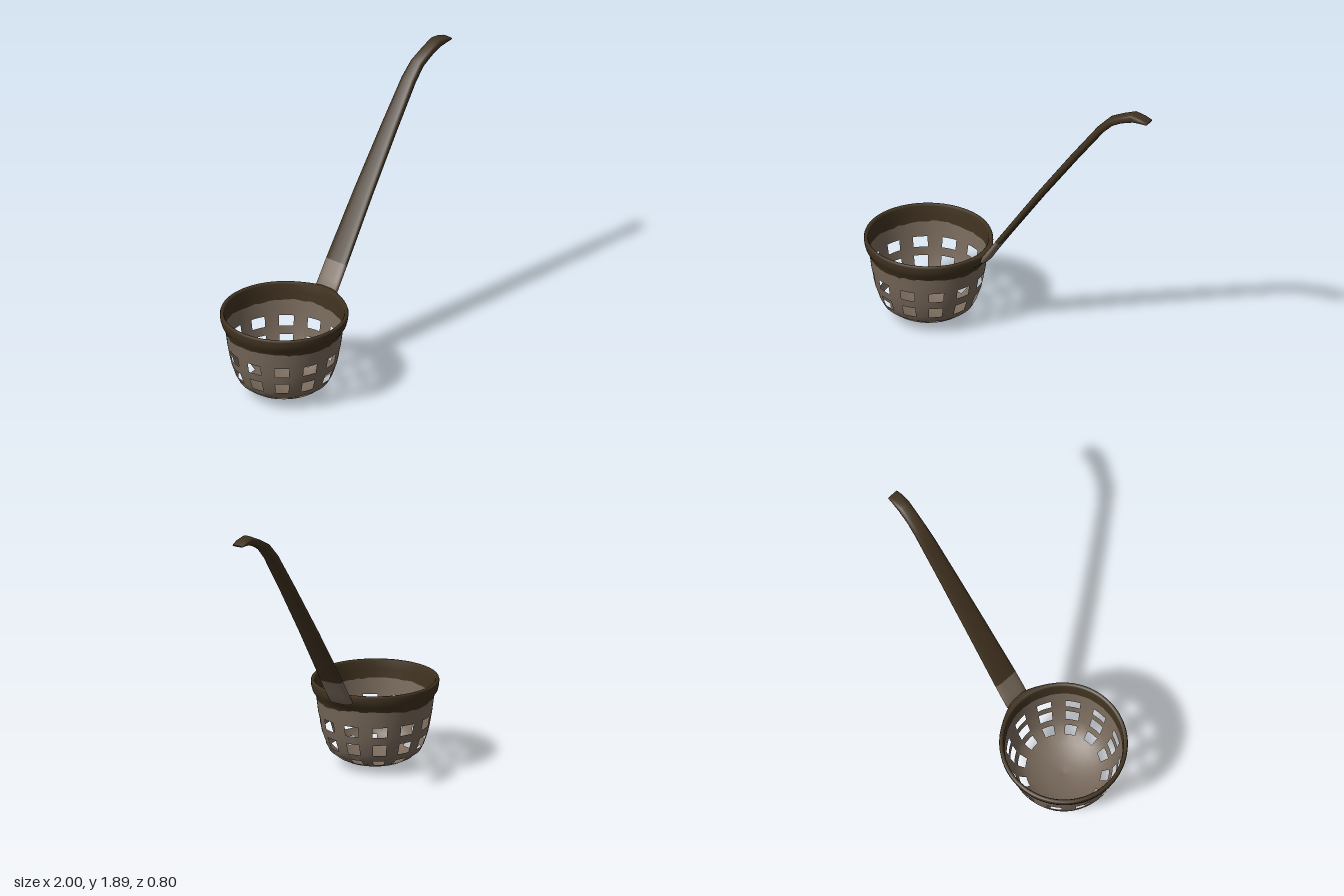
import * as THREE from 'three';

const COLS = 72;      // wall columns, 5 degrees each
const CX = -0.595;    // basket axis

// Indexed surface from a grid of closed rings; skip(i, j) leaves a cell open
function ringSurface(rings, skip = () => false) {
  const n = rings[0].length, pos = [], idx = [];
  rings.forEach(r => r.forEach(p => pos.push(p.x, p.y, p.z)));
  for (let i = 0; i < rings.length - 1; i++) {
    for (let j = 0; j < n; j++) {
      if (skip(i, j)) continue;
      const k = (j + 1) % n;
      const a = i * n + j, b = i * n + k, c = a + n, d = b + n;
      idx.push(a, b, d, a, d, c);
    }
  }
  const g = new THREE.BufferGeometry();
  g.setAttribute('position', new THREE.Float32BufferAttribute(pos, 3));
  g.setIndex(idx);
  g.computeVertexNormals();
  return g;
}

// One horizontal ring around the basket; r and y may vary with the column
function basketRing(r, y, bump = 0) {
  return Array.from({ length: COLS }, (_, j) => {
    const phi = (j / COLS) * Math.PI * 2;
    const off = phi - Math.PI / 2;                       // angle from the handle side
    const rr = r + bump * Math.exp(-((off / 0.3) ** 2));
    const yy = typeof y === 'function' ? y(j) : y;
    return new THREE.Vector3(CX + Math.sin(phi) * rr * 1.01, yy, Math.cos(phi) * rr);
  });
}

// Ragged lower edge of the dark rim colour
function raggedEdge() {
  let s = 7;
  const ys = Array.from({ length: COLS }, (_, j) => {
    s = (s * 16807) % 2147483647;
    return 0.442 + 0.006 * Math.sin(j * 0.35) + 0.012 * (s / 2147483647 - 0.5);
  });
  return j => ys[j];
}

// Rounded flat section swept along the handle: x, y, half thickness, z centre, half width
function handleRings(stations) {
  return stations.map(([x, y, t, zc, w], i) => {
    const a = stations[Math.max(i - 1, 0)], b = stations[Math.min(i + 1, stations.length - 1)];
    const dx = b[0] - a[0], dy = b[1] - a[1], l = Math.hypot(dx, dy);
    const nx = -dy / l, ny = dx / l;
    return Array.from({ length: 20 }, (_, j) => {
      const q = (j / 20) * Math.PI * 2;
      const soft = v => Math.sign(v) * Math.abs(v) ** 0.7;
      const u = soft(Math.sin(q)) * t, v = soft(Math.cos(q)) * w;
      return new THREE.Vector3(x + nx * u, y + ny * u, zc + v);
    });
  });
}

// Collapsed ring that closes an end
function capRing(ring) {
  const c = ring.reduce((s, p) => s.add(p), new THREE.Vector3()).divideScalar(ring.length);
  return ring.map(() => c.clone());
}

export function createModel() {
  const group = new THREE.Group();
  const lightClay = new THREE.MeshStandardMaterial({ color: 0x78695b, side: THREE.DoubleSide });
  lightClay.name = 'greyBrown';
  const dark = new THREE.MeshStandardMaterial({ color: 0x403220, side: THREE.DoubleSide });
  dark.name = 'darkBrown';
  const add = (name, geo, mat) => {
    const m = new THREE.Mesh(geo, mat);
    m.name = name;
    group.add(m);
  };

  // Basket wall with three rows of twelve square holes
  const edge = raggedEdge();
  const wall = [
    [0, 0.003], [0.07, 0.009], [0.13, 0.02], [0.19, 0.04], [0.237, 0.064],
    [0.285, 0.102], [0.307, 0.145], [0.332, 0.22], [0.343, 0.275],
    [0.355, 0.342], [0.361, 0.39], [0.368, edge],
  ].map(([r, y]) => basketRing(r, y));
  const holeRows = [4, 6, 8];
  add('basket', ringSurface(wall, (i, j) => holeRows.includes(i) && j % 6 < 3), lightClay);

  // Flared rim, drawn out slightly towards the handle
  const rim = [
    [0.368, edge, 0], [0.376, 0.468, 0.004], [0.391, 0.49, 0.014], [0.399, 0.52, 0.024],
    [0.401, 0.55, 0.024], [0.397, 0.561, 0.022], [0.382, 0.561, 0.004],
    [0.375, 0.55, 0], [0.371, 0.5, 0], [0.366, edge, 0],
  ].map(([r, y, b]) => basketRing(r, y, b));
  add('rim', ringSurface(rim), dark);

  // Handle: pale socket at the basket, dark grip with a bent, tapered tip
  const rings = handleRings([
    [-0.178, 0.52, 0.022, -0.012, 0.083],
    [-0.13, 0.592, 0.02, -0.012, 0.083],
    [-0.065, 0.69, 0.02, -0.012, 0.082],
    [0.2, 1.08, 0.022, -0.012, 0.071],
    [0.45, 1.432, 0.024, -0.011, 0.06],
    [0.64, 1.69, 0.025, -0.01, 0.052],
    [0.72, 1.775, 0.026, -0.007, 0.047],
    [0.8, 1.822, 0.025, 0, 0.044],
    [0.89, 1.861, 0.029, 0.006, 0.044],
    [0.95, 1.86, 0.018, 0.009, 0.043],
    [0.998, 1.852, 0.006, 0.009, 0.038],
  ]);
  add('handleSocket', ringSurface([capRing(rings[0]), ...rings.slice(0, 3)]), lightClay);
  add('handleGrip', ringSurface([...rings.slice(2), capRing(rings[rings.length - 1])]), dark);

  return group;
}
